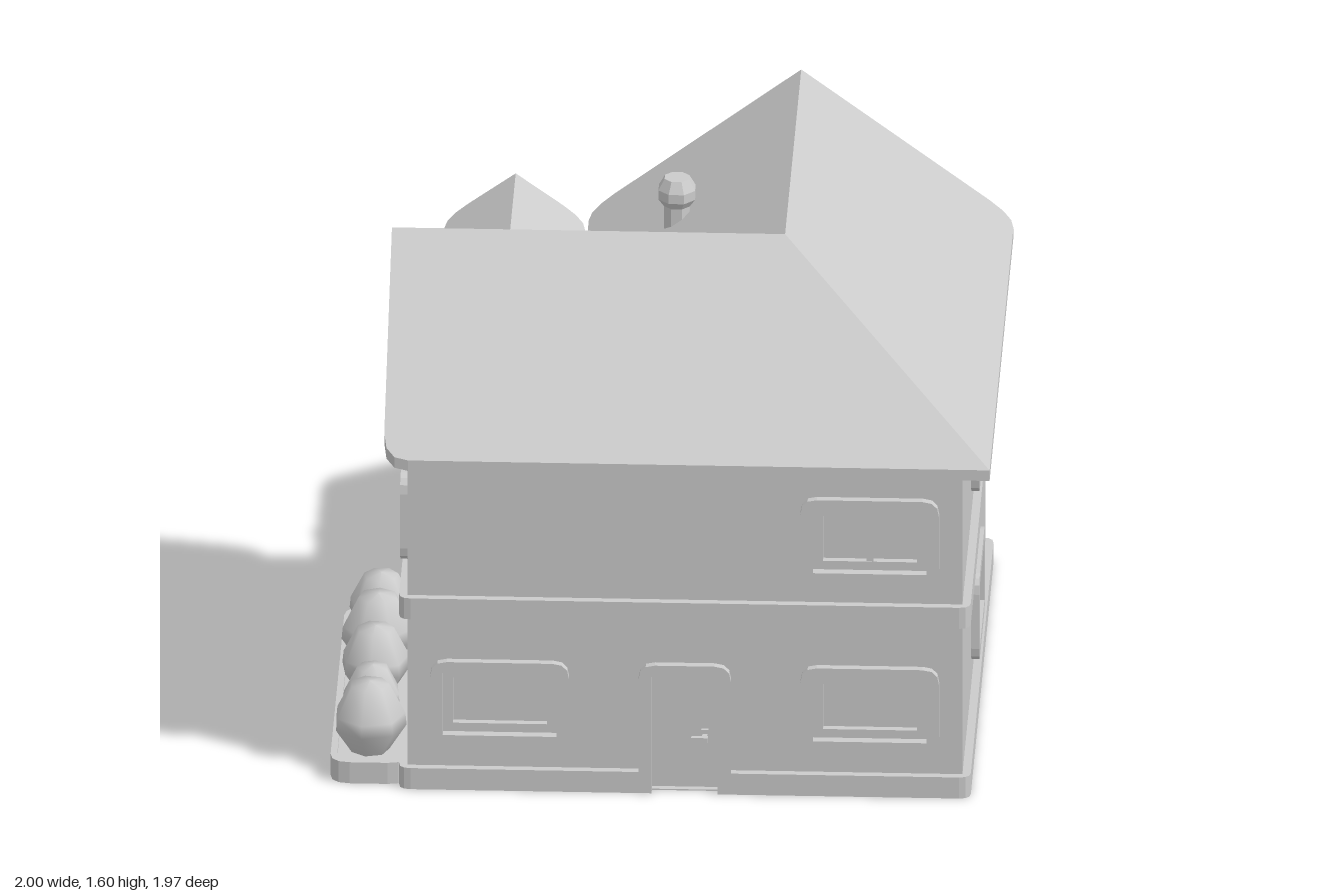
import * as THREE from 'three';

const material = new THREE.MeshStandardMaterial({ color: 0xcccccc });

function add(parent, geometry, name, x = 0, y = 0, z = 0) {
  const mesh = new THREE.Mesh(geometry, material);
  mesh.name = name;
  mesh.position.set(x, y, z);
  parent.add(mesh);
  return mesh;
}
const box = (parent, name, w, h, d, x, y, z) => add(parent, new THREE.BoxGeometry(w, h, d), name, x, y, z);

// Polygon from [x, y, cornerRadius]
function poly(points, holes = []) {
  const shape = new THREE.Shape();
  const toward = (a, b, r) => {
    const l = Math.hypot(b[0] - a[0], b[1] - a[1]);
    return [a[0] + (b[0] - a[0]) * r / l, a[1] + (b[1] - a[1]) * r / l];
  };
  points.forEach((p, i) => {
    const n = points.length, r = p[2] || 0;
    const start = r ? toward(p, points[(i + n - 1) % n], r) : p;
    if (i) shape.lineTo(start[0], start[1]); else shape.moveTo(start[0], start[1]);
    if (r) shape.quadraticCurveTo(p[0], p[1], ...toward(p, points[(i + 1) % n], r));
  });
  shape.closePath();
  shape.holes = holes;
  return shape;
}
const rect = (x0, y0, x1, y1, r = 0, holes = []) =>
  poly([[x0, y0, r], [x1, y0, r], [x1, y1, r], [x0, y1, r]], holes);
const extrude = (shape, depth) =>
  new THREE.ExtrudeGeometry(shape, { depth, bevelEnabled: false, curveSegments: 3 });

// Slab drawn in plan (x, z); its top follows height(x, z)
function slab(parent, name, shape, thickness, height) {
  const g = extrude(shape, thickness).rotateX(Math.PI / 2);
  const p = g.attributes.position;
  for (let i = 0; i < p.count; i++) p.setY(i, p.getY(i) + height(p.getX(i), p.getZ(i)));
  g.computeVertexNormals();
  return add(parent, g, name);
}

// Window in wall space: outer surround, inner sash, glass
function addWindow(wall, d, u, v, split) {
  const w = new THREE.Group();
  w.name = 'window';
  w.position.set(u, v, d);
  wall.add(w);
  add(w, extrude(rect(-0.21, -0.14, 0.21, 0.14, 0.05, [rect(-0.172, -0.103, 0.172, 0.103)]), 0.055), 'windowSurround', 0, 0, -0.03);
  add(w, extrude(rect(-0.173, -0.104, 0.173, 0.104, 0, [rect(-0.142, -0.075, 0.142, 0.075)]), 0.025), 'windowSash', 0, 0, -0.03);
  box(w, 'glass', 0.35, 0.21, 0.015, 0, 0, -0.035);
  if (split) box(w, 'mullion', 0.02, 0.16, 0.02, 0, 0, -0.018);
}

// Door in wall space: surround, leaf and handle
function addDoor(wall, d, u, width, wide) {
  const door = new THREE.Group();
  door.name = wide ? 'garageDoor' : 'door';
  door.position.set(u, 0, d);
  wall.add(door);
  const a = width / 2, b = a - 0.04;
  add(door, extrude(poly([[-a, 0], [-b, 0], [-b, 0.388], [b, 0.388], [b, 0], [a, 0], [a, 0.425, 0.05], [-a, 0.425, 0.05]]), 0.055),
    'doorSurround', 0, 0, -0.03);
  box(door, 'doorLeaf', 2 * b, 0.39, 0.02, 0, 0.195, -0.03);
  if (wide) {
    box(door, 'doorRail', 2 * b, 0.025, 0.015, 0, 0.3, -0.015);
    box(door, 'pullHandle', 0.08, 0.02, 0.03, 0, 0.11, -0.008);
  } else {
    box(door, 'handlePlate', 0.022, 0.055, 0.012, 0.06, 0.17, -0.015);
    box(door, 'handleStem', 0.015, 0.015, 0.035, 0.06, 0.177, 0);
    box(door, 'handleLever', 0.05, 0.018, 0.015, 0.045, 0.177, 0.017);
  }
}

// Wall at distance d from the origin, turned by angle; u runs to the right seen from outside
function addWall(parent, name, angle, d, [u0, u1], top, apex, windows = [], door = null) {
  const wall = new THREE.Group();
  wall.name = name;
  wall.rotation.y = angle;
  parent.add(wall);
  const outline = [[u0, 0], [u1, 0], [u1, top]];
  if (apex) outline.push(apex);
  outline.push([u0, top]);
  const holes = windows.map(([u, v]) => rect(u - 0.172, v - 0.103, u + 0.172, v + 0.103));
  if (door) {
    const b = door[1] / 2 - 0.04;
    holes.push(rect(door[0] - b, 0.004, door[0] + b, 0.388));
  }
  add(wall, extrude(poly(outline, holes), 0.05), name + 'Panel', 0, 0, d - 0.05);
  windows.forEach(([u, v]) => addWindow(wall, d, u, v, v > 0.5));
  if (door) addDoor(wall, d, ...door);
}

export function createModel() {
  const house = new THREE.Group();
  house.name = 'house';
  const up = 0.845, low = 0.285, PI = Math.PI;

  // Walls of the L-shaped plan
  addWall(house, 'frontWall', 0, 0.91, [-0.765, 0.915], 1.13, null,
    [[-0.485, low], [0.635, low], [0.635, up]], [0.075, 0.28, false]);
  addWall(house, 'rightWall', PI / 2, 0.915, [-0.91, 0.775], 1.138, null, [[-0.065, low], [-0.065, up]]);
  addWall(house, 'backGableWall', PI, 0.775, [-0.915, 0.21], 1.135, [-0.355, 1.555],
    [[-0.635, low], [-0.635, up], [-0.075, up]], [-0.075, 0.28, false]);
  addWall(house, 'leftGableWall', -PI / 2, 0.765, [-0.23, 0.91], 1.13, [0.34, 1.555], [[0.065, up], [0.625, up]]);
  addWall(house, 'sideWingBackWall', PI, 0.23, [0.16, 0.765], 1.13, null, [], [0.485, 0.4, true]);
  addWall(house, 'innerWall', -PI / 2, 0.21, [-0.775, -0.18], 1.13, null);

  // Plinth with door notches, and the band between storeys
  const r = 0.035;
  slab(house, 'plinth', poly([
    [-0.79, 0.935, r], [-0.065, 0.935], [-0.065, 0.88], [0.215, 0.88], [0.215, 0.935], [0.94, 0.935, r],
    [0.94, -0.8, r], [0.215, -0.8], [0.215, -0.745], [-0.065, -0.745], [-0.065, -0.8], [-0.235, -0.8, r],
    [-0.235, -0.255], [-0.285, -0.255], [-0.285, -0.2], [-0.685, -0.2], [-0.685, -0.255], [-0.79, -0.255, r],
  ]), 0.07, () => 0.07);
  slab(house, 'storeyBand', poly([
    [-0.79, 0.935, r], [0.94, 0.935, r], [0.94, -0.8, r], [-0.235, -0.8, r], [-0.235, -0.255], [-0.79, -0.255, r],
  ]), 0.07, () => 0.635);

  // Main roof: four pitched panels meeting at ridges, hip and valley
  const c = 0.075, eave = 1.115, k = 0.48 / 0.64, m = 0.48 / 0.645, t = 0.035;
  slab(house, 'roofFront', poly([[-0.835, 0.98, c], [1, 0.98], [0.355, 0.34], [-0.835, 0.34]]), t, (x, z) => eave + k * (0.98 - z));
  slab(house, 'roofRight', poly([[1, 0.98], [1, -0.85, c], [0.355, -0.85], [0.355, 0.34]]), t, (x) => eave + m * (1 - x));
  slab(house, 'roofSideWingBack', poly([[-0.835, 0.34], [0.355, 0.34], [-0.285, -0.3], [-0.835, -0.3, c]]), t, (x, z) => eave + k * (z + 0.3));
  slab(house, 'roofBackWingLeft', poly([[0.355, 0.34], [0.355, -0.85], [-0.285, -0.85, c], [-0.285, -0.3]]), t, (x) => eave + k * (x + 0.285));

  // Dormer on the side wing
  const dormer = new THREE.Group();
  dormer.name = 'dormer';
  dormer.position.x = -0.485;
  house.add(dormer);
  for (const s of [-1, 1]) {
    slab(dormer, 'dormerRoof', poly([[s * 0.213, -0.26, 0.07], [0, -0.26], [0, 0.225], [s * 0.213, 0.02]]), 0.03,
      (x) => 1.505 - 0.72 * Math.abs(x));
  }
  const front = [[-0.175, 1.14], [0.175, 1.14], [0.175, 1.352], [0, 1.477], [-0.175, 1.352]];
  add(dormer, extrude(poly(front), 0.35), 'dormerBody', 0, 0, -0.17);
  const opening = poly([[-0.13, 1.25], [0.13, 1.25], [0.13, 1.3], [0, 1.41], [-0.13, 1.3]]);
  add(dormer, extrude(poly(front, [opening]), 0.035), 'dormerFront', 0, 0, -0.205);
  box(dormer, 'dormerMullion', 0.02, 0.16, 0.02, 0, 1.33, -0.18);

  // Chimney pot
  const pot = [[0.042, 1.25], [0.042, 1.375], [0.06, 1.4], [0.06, 1.43], [0.04, 1.465], [0, 1.465]];
  const potGeometry = new THREE.LatheGeometry(pot.map((p) => new THREE.Vector2(...p)), 8).toNonIndexed();
  potGeometry.computeVertexNormals();
  add(house, potGeometry, 'chimney', 0, 0, -0.34).rotation.y = PI / 8;

  // Porch canopies and posts
  const canopy = (name, x0, x1, wallZ, edgeZ, r0) => slab(house, name,
    poly([[x0, wallZ], [x1, wallZ], [x1, edgeZ, r0], [x0, edgeZ, 0.05]]), 0.035,
    (x, z) => 0.555 - 0.29 * (wallZ - z));
  canopy('backCanopy', -0.205, 0.915, -0.77, -0.985, 0.05);
  canopy('sideCanopy', -0.765, -0.21, -0.225, -0.43, 0);
  for (const [x, z] of [[-0.145, -0.895], [0.855, -0.895], [-0.715, -0.35]]) {
    box(house, 'porchPost', 0.042, 0.49, 0.042, x, 0.245, z);
  }

  // Planter with a row of shrubs
  slab(house, 'planterRim', rect(-1, -0.22, -0.765, 0.9, 0.06, [rect(-0.98, -0.2, -0.78, 0.88, 0.05)]), 0.07, () => 0.07);
  slab(house, 'planterSoil', rect(-0.985, -0.205, -0.77, 0.885, 0.05), 0.055, () => 0.055);
  const bush = [[0.06, 0], [0.112, 0.08], [0.108, 0.12], [0.06, 0.215], [0, 0.225]].map((p) => new THREE.Vector2(...p));
  [[-0.08, 0.88], [0.13, 1], [0.34, 0.95], [0.55, 0.8], [0.765, 1]].forEach(([z, s], i) => {
    const shrub = add(house, new THREE.LatheGeometry(bush, 7), 'shrub', -0.885, 0.055, z);
    shrub.scale.setScalar(s);
    shrub.rotation.y = i * 1.3;
  });

  return house;
}
